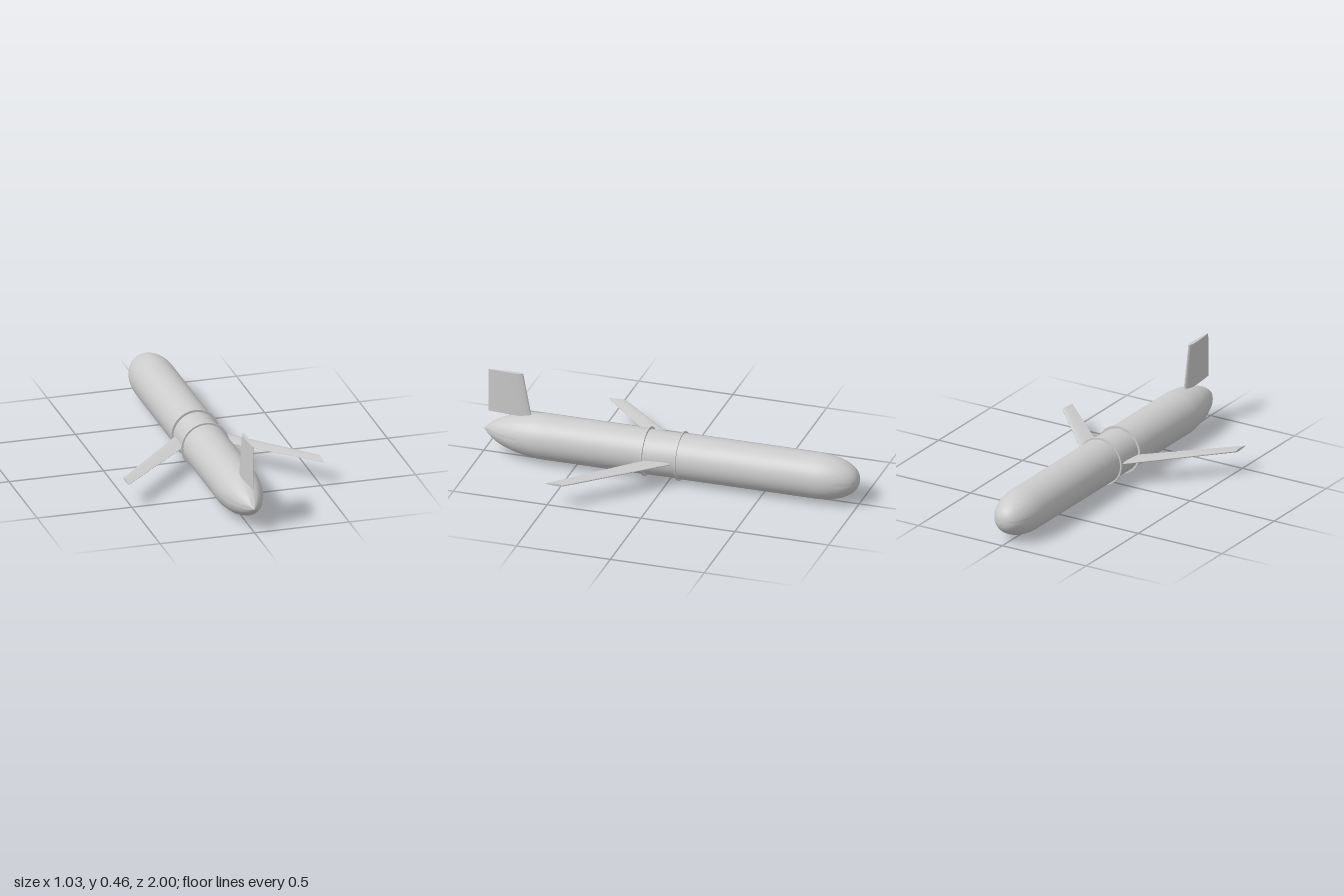
import * as THREE from 'three';
import { toCreasedNormals } from 'three/addons/utils/BufferGeometryUtils.js';

const AXIS_Y = 0.127;
const R = 0.118;
const { lerp } = THREE.MathUtils;

export function createModel() {
  const model = new THREE.Group();
  model.name = 'wingedMissile';
  const material = new THREE.MeshStandardMaterial({ color: 0xcccccc });

  const add = (name, geometry, y = 0) => {
    const mesh = new THREE.Mesh(toCreasedNormals(geometry, 0.6), material);
    mesh.name = name;
    mesh.position.y = y;
    model.add(mesh);
  };

  // Turned part along z, profile given as [radius, z] with rising z
  const turned = (name, profile) => {
    const points = profile.map(([r, z]) => new THREE.Vector2(r, z));
    add(name, new THREE.LatheGeometry(points, 64).rotateX(Math.PI / 2), AXIS_Y);
  };

  // Rounded nose with the long fore body
  const nose = [];
  for (let i = 0; i <= 16; i++) {
    const a = (i / 16) * Math.PI / 2;
    nose.push([R * Math.pow(Math.sin(a), 0.88), -0.78 - 0.22 * Math.cos(a)]);
  }
  turned('foreBody', [...nose, [R, -0.05], [0, -0.05]]);

  // Waist carrying the wings
  turned('wingWaist', [[0, -0.055], [0.115, -0.055], [0.115, 0.125], [0, 0.125]]);

  // Aft body narrowing to a pointed tail
  const tail = new THREE.SplineCurve([
    [R, 0.64], [0.117, 0.7], [0.103, 0.8], [0.089, 0.85], [0.067, 0.91], [0.036, 0.96], [0, 1],
  ].map(([r, z]) => new THREE.Vector2(r, z)));
  turned('aftBody', [[0, 0.12], [R, 0.12], ...tail.getPoints(20).map((p) => [Math.max(p.x, 0), p.y])]);

  // Thin collars at both ends of the waist
  for (const [name, z] of [['foreCollar', -0.055], ['aftCollar', 0.125]]) {
    turned(name, [[0.112, z - 0.005], [0.127, z - 0.005], [0.127, z + 0.005], [0.112, z + 0.005]]);
  }

  // Unit airfoil: blunt leading edge at 0, thin trailing edge at 1
  const foil = new THREE.Shape();
  foil.moveTo(0, 0);
  foil.bezierCurveTo(0, -0.6, 0.3, -0.7, 1, -0.06);
  foil.lineTo(1, 0.06);
  foil.bezierCurveTo(0.3, 0.7, 0, 0.6, 0, 0);

  // Sweep the airfoil along its span, placing every vertex by a rule
  const blade = (name, place) => {
    const g = new THREE.ExtrudeGeometry(foil, { depth: 1, bevelEnabled: false, curveSegments: 12 });
    const p = g.attributes.position;
    for (let i = 0; i < p.count; i++) p.setXYZ(i, ...place(p.getX(i), p.getY(i), p.getZ(i)));
    add(name, g);
  };

  // Swept wings
  for (const [name, side] of [['leftWing', 1], ['rightWing', -1]]) {
    blade(name, (u, v, w) => [
      side * lerp(0.09, 0.517, w),
      AXIS_Y - side * v * 0.013,
      lerp(-0.06, 0.41, w) + u * lerp(0.15, 0.095, w),
    ]);
  }

  // Upright tail fin
  blade('tailFin', (u, v, w) => [
    v * lerp(0.026, 0.021, w),
    lerp(0.228, 0.462, w),
    lerp(lerp(0.745, 0.79, w), 0.975, u),
  ]);

  return model;
}
